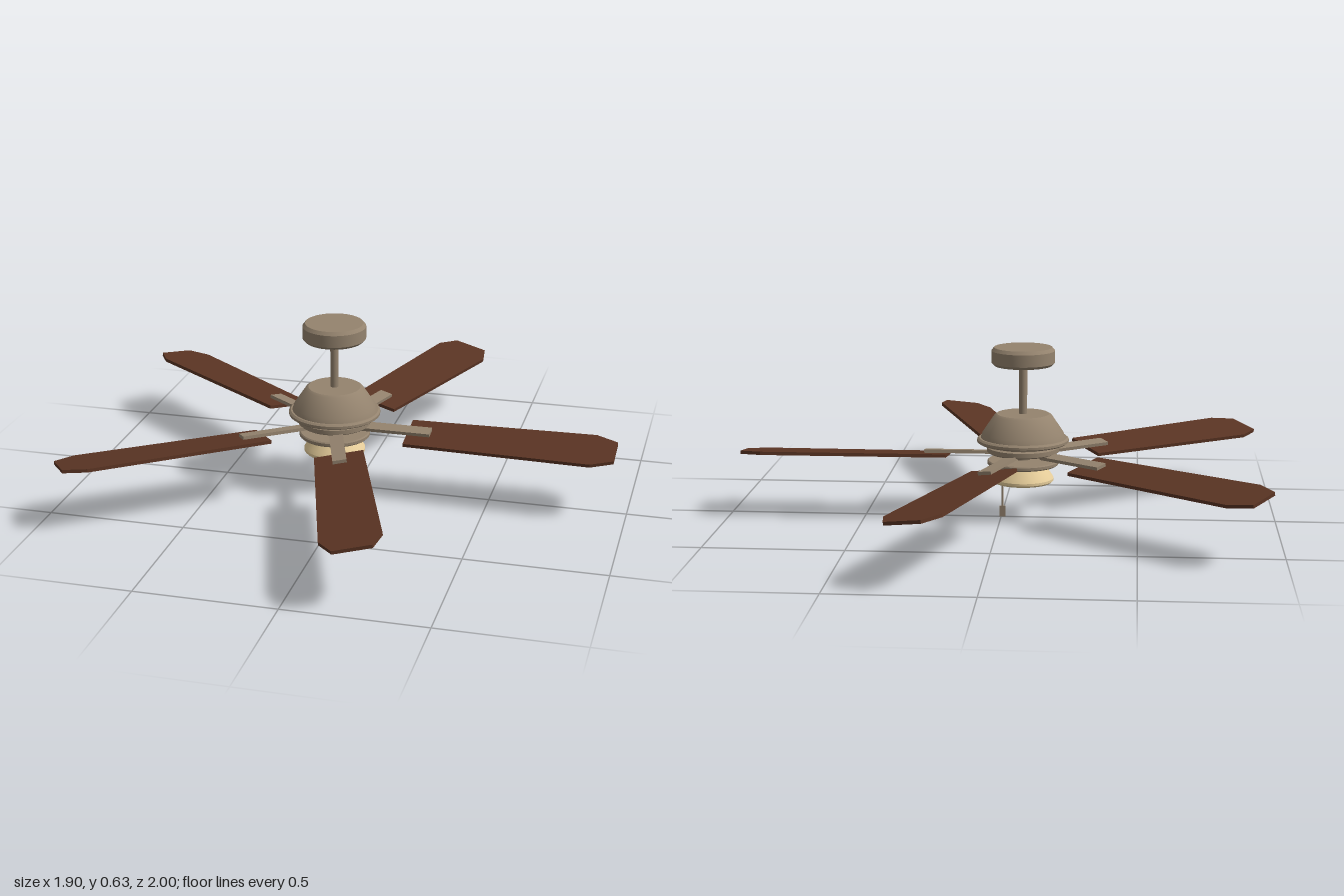
import * as THREE from 'three';
import { toCreasedNormals } from 'three/addons/utils/BufferGeometryUtils.js';

export function createModel() {
  const fan = new THREE.Group();
  fan.name = 'ceilingFan';
  fan.position.x = -0.08; // the odd number of blades puts the axis off centre

  const material = (name, color) => {
    const m = new THREE.MeshStandardMaterial({ color });
    m.name = name;
    return m;
  };
  const metal = material('brushed bronze', 0x94836e);
  const wood = material('dark walnut', 0x5a3423);
  const glass = material('cream glass', 0xe6cd9a);

  const add = (parent, name, geometry, mat, x = 0, y = 0, z = 0) => {
    const mesh = new THREE.Mesh(geometry, mat);
    mesh.name = name;
    mesh.position.set(x, y, z);
    parent.add(mesh);
    return mesh;
  };
  // Turned part: profile of [radius, height] from bottom to top
  const turned = (name, profile, mat) => {
    const points = profile.map(([r, y]) => new THREE.Vector2(r, y));
    const geometry = toCreasedNormals(new THREE.LatheGeometry(points, 48), 0.5);
    return add(fan, name, geometry, mat);
  };

  // Ceiling mount and rod
  turned('canopy', [[0, 0.566], [0.105, 0.566], [0.115, 0.576], [0.115, 0.62],
    [0.105, 0.632], [0, 0.632]], metal);
  add(fan, 'downRod', new THREE.CylinderGeometry(0.015, 0.015, 0.2, 24), metal, 0, 0.475, 0);

  // Motor housing with its stepped rims
  turned('motorHousing', [[0, 0.245], [0.125, 0.245], [0.132, 0.25], [0.132, 0.266],
    [0.12, 0.27], [0.12, 0.281], [0.16, 0.281], [0.167, 0.286], [0.167, 0.295],
    [0.16, 0.301], [0.154, 0.301], [0.148, 0.318], [0.105, 0.382], [0.095, 0.388],
    [0, 0.388]], metal);

  // Light kit below the blades
  add(fan, 'lightNeck', new THREE.CylinderGeometry(0.025, 0.025, 0.04, 24), metal, 0, 0.23, 0);
  turned('lightPlate', [[0, 0.199], [0.126, 0.199], [0.13, 0.203], [0.13, 0.213],
    [0.126, 0.217], [0, 0.217]], metal);
  turned('lightShade', [[0, 0.135], [0.106, 0.135], [0.112, 0.141], [0.112, 0.15],
    [0.105, 0.162], [0.078, 0.199], [0, 0.199]], glass);

  // Pull chain
  add(fan, 'pullChain', new THREE.CylinderGeometry(0.004, 0.004, 0.1, 8), metal, 0.075, 0.087, 0);
  add(fan, 'pullHandle', new THREE.BoxGeometry(0.022, 0.04, 0.007), metal, 0.075, 0.02, 0);

  // Blade outline, slightly flared with clipped tip corners
  const outline = new THREE.Shape([[0.275, -0.088], [0.95, -0.104], [1.03, -0.066],
    [1.03, 0.066], [0.95, 0.104], [0.275, 0.088]].map(([x, y]) => new THREE.Vector2(x, y)));
  const bladeGeometry = new THREE.ExtrudeGeometry(outline, { depth: 0.012, bevelEnabled: false });
  bladeGeometry.rotateX(-Math.PI / 2).translate(0, -0.006, 0);
  const bracketGeometry = new THREE.BoxGeometry(0.26, 0.012, 0.05);

  // Five pitched blades, each on its bracket
  for (let i = 0; i < 5; i++) {
    const arm = new THREE.Group();
    arm.name = 'bladeArm' + (i + 1);
    arm.position.y = 0.231;
    arm.rotation.y = (i * Math.PI * 2) / 5;
    const pitched = new THREE.Group();
    pitched.name = 'pitchedBlade';
    pitched.rotation.x = 0.145;
    add(pitched, 'blade', bladeGeometry, wood);
    add(pitched, 'bladeBracket', bracketGeometry, metal, 0.23, 0.012, 0);
    arm.add(pitched);
    fan.add(arm);
  }

  const model = new THREE.Group();
  model.name = 'model';
  model.add(fan);
  return model;
}
